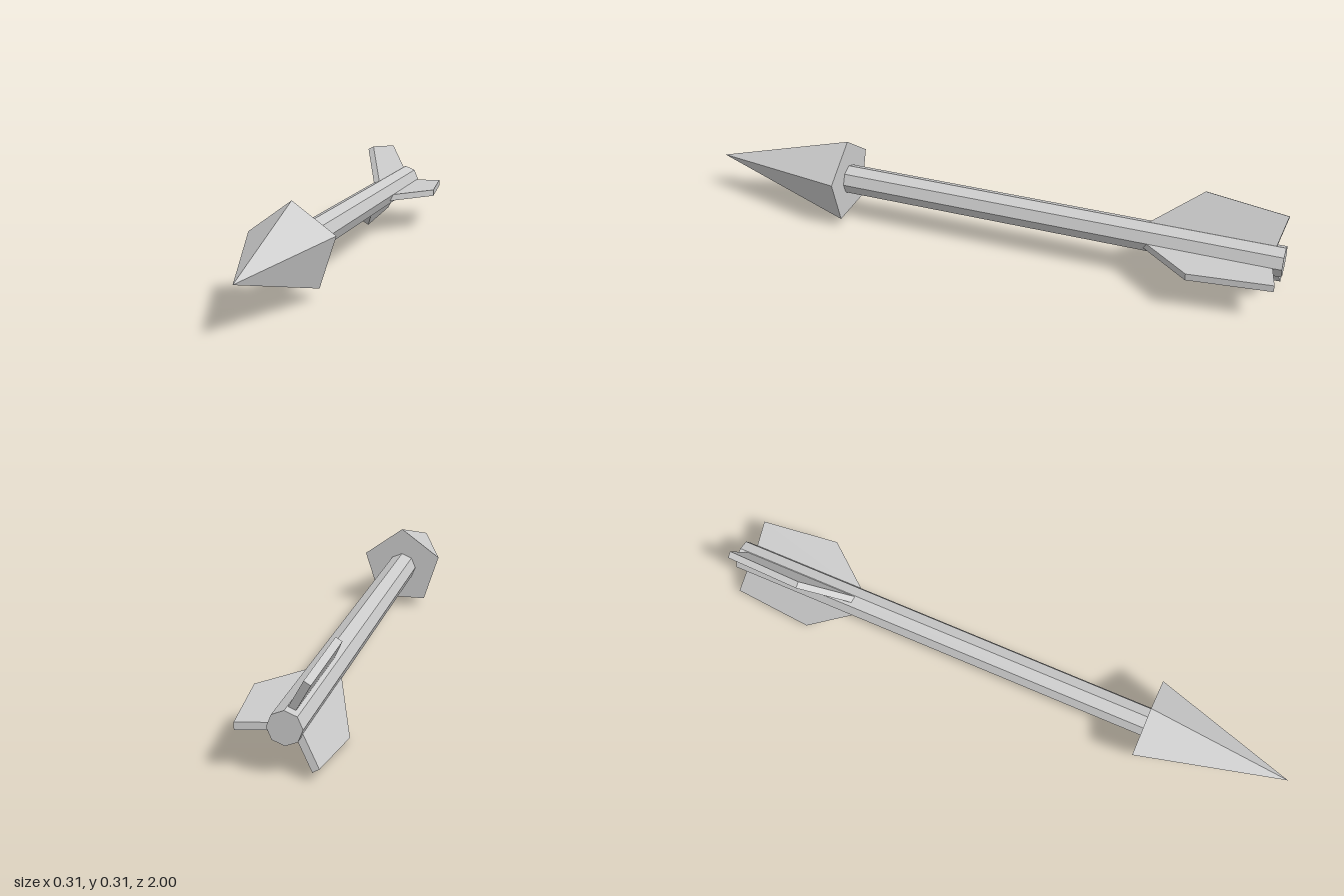
import * as THREE from 'three';

const AXIS_X = -0.018, AXIS_Y = 0.153;

export function createModel() {
  const grey = new THREE.MeshStandardMaterial({ color: 0xcccccc });
  grey.name = 'light grey';
  grey.flatShading = true;

  const arrow = new THREE.Group();
  arrow.name = 'arrow';
  arrow.position.set(AXIS_X, AXIS_Y, 0);

  const add = (name, geometry) => {
    const mesh = new THREE.Mesh(geometry, grey);
    mesh.name = name;
    arrow.add(mesh);
    return mesh;
  };

  // Eight-sided shaft with a ridge on top, running along z
  const tail = -1, headBase = 0.505, tip = 1;
  const shaft = new THREE.CylinderGeometry(0.051, 0.051, headBase - tail, 8);
  shaft.rotateX(Math.PI / 2);
  add('shaft', shaft).position.z = (headBase + tail) / 2;

  // Five-sided pointed head, one corner up
  const head = new THREE.ConeGeometry(0.145, tip - headBase, 5, 1, false, Math.PI);
  head.rotateX(Math.PI / 2);
  add('head', head).position.z = (headBase + tip) / 2;

  // Three fins around the tail: outline in (radius, z), each plate hangs to one side of its radius
  const outline = new THREE.Shape([
    [0.03, -0.543], [0.03, -0.967], [0.143, -0.992], [0.174, -0.723],
  ].map(([r, z]) => new THREE.Vector2(r, z)));
  const fin = new THREE.ExtrudeGeometry(outline, { depth: 0.023, bevelEnabled: false });
  fin.rotateX(Math.PI / 2);
  ['leftFin', 'upperRightFin', 'lowerRightFin'].forEach((name, i) => {
    add(name, fin).rotation.z = (i * Math.PI * 2) / 3;
  });

  const model = new THREE.Group();
  model.name = 'model';
  model.add(arrow);
  return model;
}
